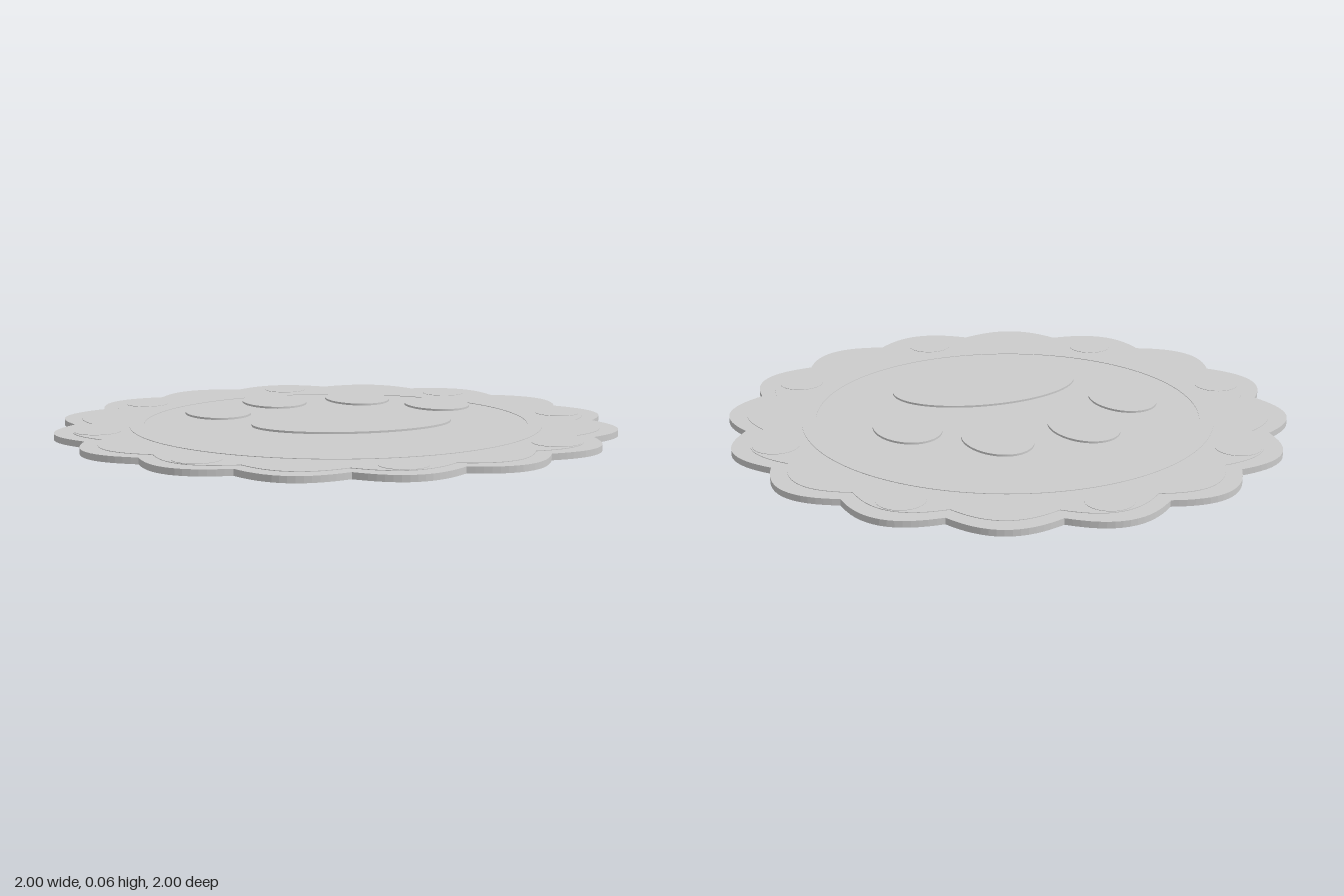
import * as THREE from 'three';

const LOBES = 16;

// Scalloped outline: rounded lobes meeting in sharp notches
function scallop(scale) {
  const points = [];
  const steps = LOBES * 16;
  for (let i = 0; i < steps; i++) {
    const t = (i / steps) * Math.PI * 2;
    const r = scale * (0.93 + 0.07 * Math.abs(Math.cos((t * LOBES) / 2)));
    points.push(new THREE.Vector2(r * Math.cos(t), r * Math.sin(t)));
  }
  return new THREE.Shape(points);
}

// Flat plate lying between two heights
function plate(name, shape, bottom, top, material) {
  const geometry = new THREE.ExtrudeGeometry(shape, {
    depth: top - bottom, bevelEnabled: false, curveSegments: 64,
  });
  geometry.rotateX(-Math.PI / 2);
  geometry.translate(0, bottom, 0);
  const mesh = new THREE.Mesh(geometry, material);
  mesh.name = name;
  return mesh;
}

function ellipse(rx, rz) {
  return new THREE.Shape().absellipse(0, 0, rx, rz, 0, Math.PI * 2, false, 0);
}

export function createModel() {
  const grey = new THREE.MeshStandardMaterial({ color: 0xcccccc });
  grey.name = 'light grey';
  const model = new THREE.Group();
  model.name = 'scallopedCoaster';

  // Base slab and the slightly raised inner scallop
  model.add(plate('base', scallop(1), 0, 0.022, grey));
  model.add(plate('innerScallop', scallop(0.935), 0.022, 0.024, grey));

  // Circular border
  const ring = ellipse(0.735, 0.735);
  ring.holes.push(new THREE.Path().absellipse(0, 0, 0.685, 0.685, 0, Math.PI * 2, true, 0));
  model.add(plate('borderRing', ring, 0.024, 0.026, grey));

  // Eight dots around the rim
  for (let i = 0; i < 8; i++) {
    const t = (i * Math.PI) / 4;
    const dot = plate('rimDot', ellipse(0.08, 0.08), 0.024, 0.0255, grey);
    dot.position.set(0.85 * Math.cos(t), 0, 0.85 * Math.sin(t));
    model.add(dot);
  }

  // Paw print floating above the centre
  const paw = new THREE.Group();
  paw.name = 'pawPrint';
  const addPad = (name, x, z, rx, rz) => {
    const pad = plate(name, ellipse(rx, rz), 0.056, 0.063, grey);
    pad.position.set(x, 0, z);
    paw.add(pad);
  };
  addPad('mainPad', 0, 0.23, 0.35, 0.22);
  for (const side of [-1, 1]) {
    addPad('outerToe', side * 0.41, -0.095, 0.116, 0.152);
    addPad('innerToe', side * 0.16, -0.305, 0.118, 0.16);
  }
  model.add(paw);

  return model;
}
